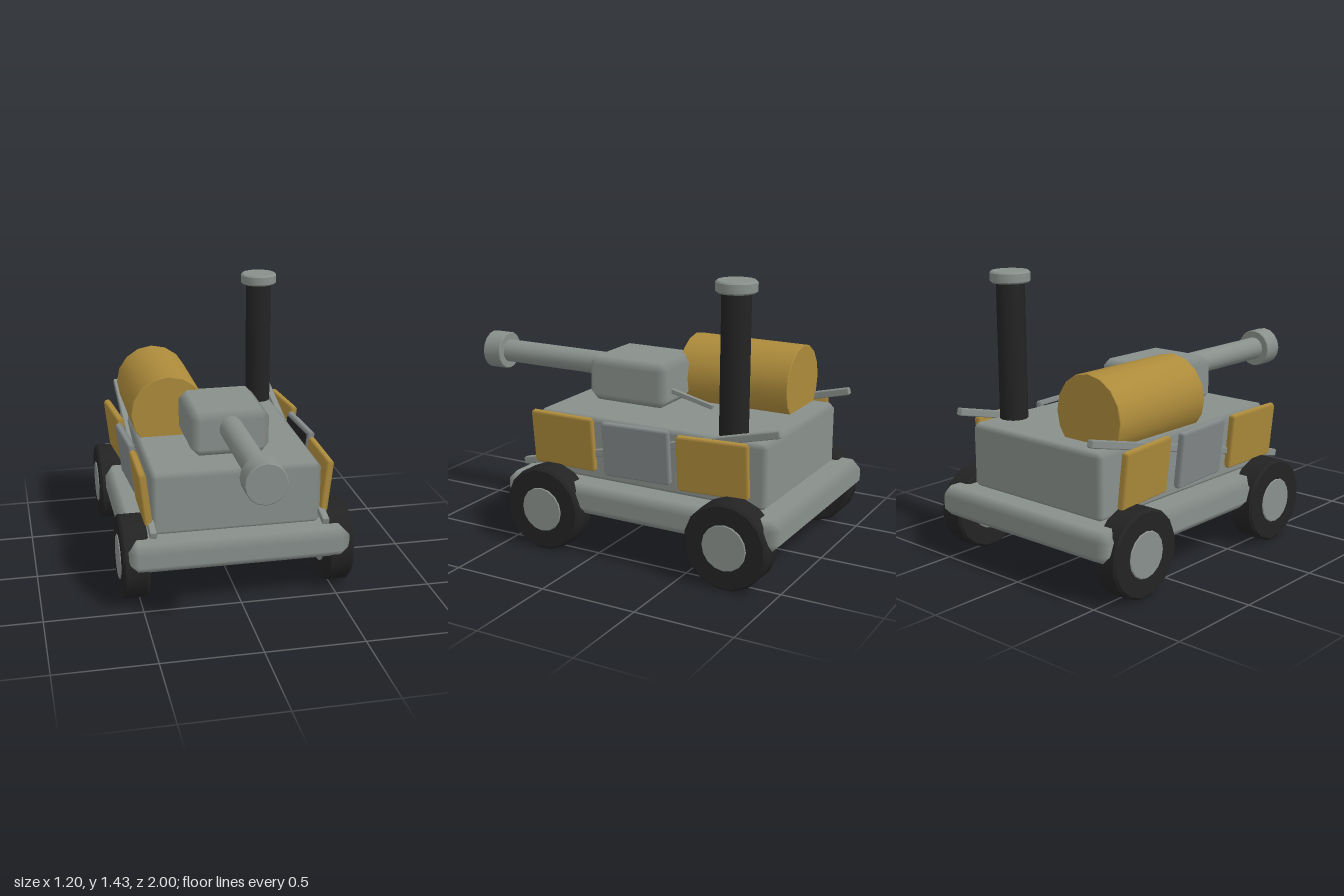
import * as THREE from 'three';
import { toCreasedNormals } from 'three/addons/utils/BufferGeometryUtils.js';
import { ConvexGeometry } from 'three/addons/geometries/ConvexGeometry.js';

const material = (name, color) => {
  const m = new THREE.MeshStandardMaterial({ color });
  m.name = name;
  return m;
};

// Box with chamfered edges; normals follow the main faces so the chamfers shade softly
function chamferBox(w, h, d, bevel) {
  const half = [w / 2, h / 2, d / 2];
  const points = [];
  for (let axis = 0; axis < 3; axis++)
    for (const sx of [-1, 1]) for (const sy of [-1, 1]) for (const sz of [-1, 1]) {
      const c = [sx, sy, sz].map((s, i) => s * (half[i] - (i === axis ? 0 : bevel)));
      points.push(new THREE.Vector3(...c));
    }
  const geo = new ConvexGeometry(points);
  const pos = geo.attributes.position, nor = geo.attributes.normal;
  for (let i = 0; i < pos.count; i++) {
    const p = [pos.getX(i), pos.getY(i), pos.getZ(i)];
    nor.setXYZ(i, ...p.map((v, k) => (Math.abs(Math.abs(v) - half[k]) < 1e-4 ? Math.sign(v) : 0)));
  }
  return geo;
}

// Sixteen-sided cylinder along y with bevelled rims
function drumGeometry(r, length, bevel) {
  const h = length / 2;
  const profile = [[0, -h], [r - bevel, -h], [r, -h + bevel], [r, h - bevel], [r - bevel, h], [0, h]]
    .map(([x, y]) => new THREE.Vector2(x, y));
  return toCreasedNormals(new THREE.LatheGeometry(profile, 16), 0.6);
}

export function createModel() {
  const model = new THREE.Group();
  model.name = 'armouredBuggy';
  const grey = material('hull grey', 0x89908c);
  const steel = material('panel steel', 0x84898a);
  const gold = material('ochre', 0xad8b3b);
  const black = material('rubber black', 0x232323);

  const add = (name, geo, mat, x, y, z, parent = model) => {
    const mesh = new THREE.Mesh(geo, mat);
    mesh.name = name;
    mesh.position.set(x, y, z);
    parent.add(mesh);
    return mesh;
  };

  // Chassis and body
  add('chassis', chamferBox(1.13, 0.155, 1.53, 0.045), grey, 0, 0.288, -0.235);
  add('hull', chamferBox(0.87, 0.33, 1.28, 0.025), grey, 0, 0.525, -0.24);

  // Turret and gun
  add('turret', chamferBox(0.405, 0.235, 0.455, 0.042), grey, 0, 0.82, 0.022);
  add('gunBarrel', drumGeometry(0.062, 0.72, 0.004).rotateX(Math.PI / 2), grey, 0, 0.852, 0.56);
  add('muzzle', drumGeometry(0.102, 0.11, 0.004).rotateX(Math.PI / 2), grey, 0, 0.852, 0.945);
  const lever = add('turretLever', chamferBox(0.024, 0.024, 0.3, 0.004), grey, 0.11, 0.768, -0.29);
  lever.rotation.x = -0.23;

  // Fuel drum
  add('fuelDrum', drumGeometry(0.203, 0.615, 0.003).rotateX(Math.PI / 2), gold, -0.255, 0.815, -0.457);

  // Smokestack
  add('smokestack', drumGeometry(0.071, 0.72, 0.004), black, 0.35, 1.02, -0.67);
  add('smokestackCap', drumGeometry(0.1, 0.058, 0.008), grey, 0.35, 1.404, -0.67);

  // Wheels, with hubs showing on both faces
  const tyre = drumGeometry(0.217, 0.135, 0.012).rotateY(Math.PI / 16).rotateZ(Math.PI / 2);
  const hub = drumGeometry(0.115, 0.146, 0.004).rotateZ(Math.PI / 2);
  for (const side of [-1, 1]) for (const z of [0.28, -0.745]) {
    const wheel = new THREE.Group();
    wheel.name = (z > 0 ? 'front' : 'rear') + (side > 0 ? 'Left' : 'Right') + 'Wheel';
    wheel.position.set(side * 0.527, 0.214, z);
    add('tyre', tyre, black, 0, 0, 0, wheel);
    add('hub', hub, grey, 0, 0, 0, wheel);
    model.add(wheel);
  }

  // Leaning side panels, each pair turned by the same yaw, and the long side rods
  const panel = chamferBox(0.04, 0.284, 0.362, 0.012);
  const backing = new THREE.BoxGeometry(0.008, 0.24, 0.32);
  const panels = [
    ['frontPanel', gold, 0.465, 0.222, 0],
    ['middlePanel', steel, 0.473, -0.205, 0.07],
    ['rearPanel', gold, 0.484, -0.627, 0.1],
  ];
  for (const side of [-1, 1]) {
    for (const [name, mat, x, z, yaw] of panels) {
      const mesh = add(name, panel, mat, side * x, 0.557, z);
      mesh.rotation.set(0, yaw, -side * 0.11);
      if (name === 'middlePanel') add('panelBacking', backing, black, -side * 0.018, 0, 0, mesh);
    }
    const rod = add('sideRod', chamferBox(0.037, 0.037, 1.475, 0.006), grey, side * 0.44, 0.58, -0.235);
    rod.rotation.x = 0.245;
  }
  return model;
}
